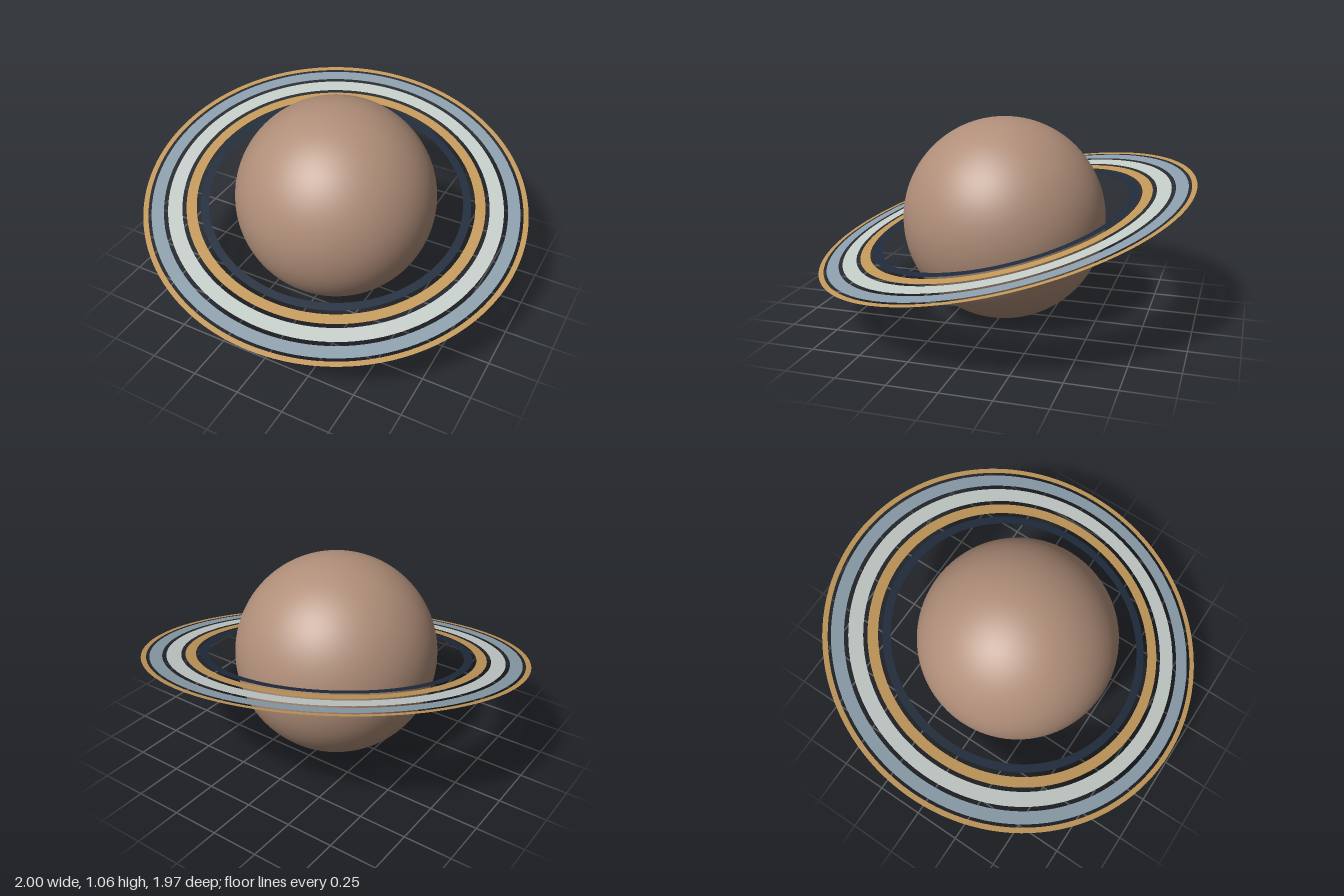
import * as THREE from 'three';

const S = 0.53; // planet radius; ring radii are multiples of it

const material = (name, color, side = THREE.FrontSide) => {
  const m = new THREE.MeshStandardMaterial({ color, side });
  m.name = name;
  return m;
};

export function createModel() {
  const model = new THREE.Group();
  model.name = 'ringedPlanet';

  const clay = material('clay brown', 0xb08e79);
  const navy = material('dark navy', 0x1f2b3c, THREE.DoubleSide);
  const gold = material('ochre gold', 0xc4995a, THREE.DoubleSide);
  const grey = material('pale grey', 0xc5cdc9, THREE.DoubleSide);
  const blue = material('slate blue', 0x8c9fac, THREE.DoubleSide);

  // Smooth planet body
  const planet = new THREE.Mesh(new THREE.SphereGeometry(S, 96, 64), clay);
  planet.name = 'planet';
  planet.position.y = S;
  model.add(planet);

  // Tilted system of flat concentric rings
  const rings = new THREE.Group();
  rings.name = 'rings';
  rings.position.y = S;
  rings.rotation.set(0.22, 0, -0.12);
  model.add(rings);

  const bands = [
    ['innerRing', 1.26, 1.34, navy],
    ['innerGoldRing', 1.38, 1.48, gold],
    ['broadRing', 1.52, 1.66, grey],
    ['slateRing', 1.70, 1.82, blue],
    ['outerGoldRing', 1.85, 1.90, gold],
  ];
  for (const [name, inner, outer, mat] of bands) {
    const geometry = new THREE.RingGeometry(inner * S, outer * S, 128);
    geometry.rotateX(-Math.PI / 2);
    const ring = new THREE.Mesh(geometry, mat);
    ring.name = name;
    rings.add(ring);
  }

  return model;
}
